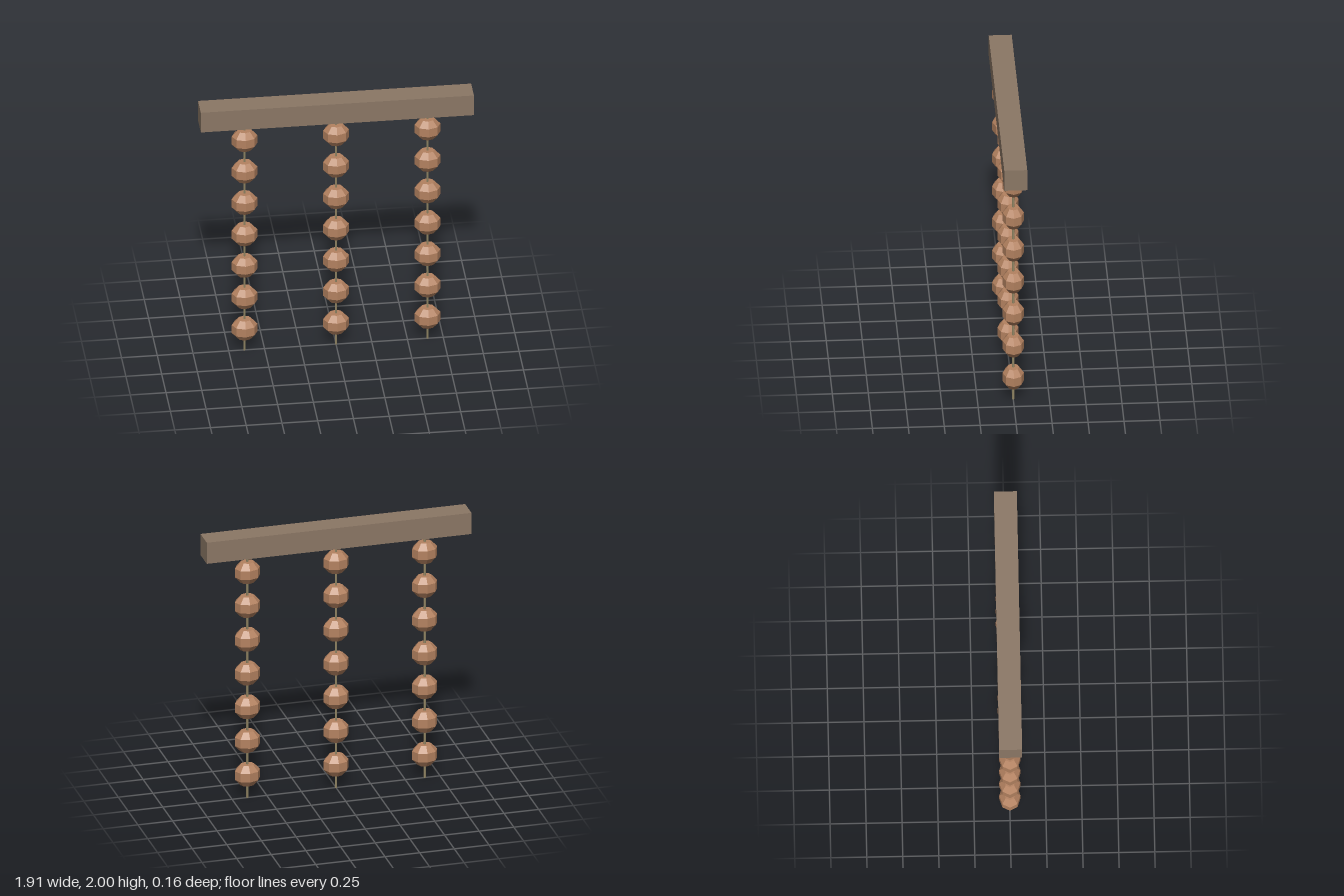
import * as THREE from 'three';

const material = (color) => new THREE.MeshStandardMaterial({ color, flatShading: true });

export function createModel() {
  const model = new THREE.Group();
  const wood = material(0x8b7765);
  const beadWood = material(0xb48260);
  const cordFibre = material(0x8f8362);

  const add = (parent, name, geometry, mat, x, y, z = 0) => {
    const mesh = new THREE.Mesh(geometry, mat);
    mesh.name = name;
    mesh.position.set(x, y, z);
    parent.add(mesh);
    return mesh;
  };

  // Square beam along the top
  add(model, 'beam', new THREE.BoxGeometry(1.91, 0.16, 0.16), wood, 0, 1.92);

  // Faceted bead, slightly wider than deep
  const profile = [[0, -1], [0.55, -1], [1, -0.42], [1, 0.42], [0.55, 1], [0, 1]]
    .map(([r, y]) => new THREE.Vector2(r, y));
  const beadGeometry = new THREE.LatheGeometry(profile, 8).scale(0.09, 0.077, 0.074);
  const cordGeometry = new THREE.CylinderGeometry(0.008, 0.008, 1.86, 6);

  // Three hanging strands, each a cord with seven beads
  for (const x of [-0.64, 0, 0.64]) {
    const strand = new THREE.Group();
    strand.name = 'strand';
    strand.position.x = x;
    add(strand, 'cord', cordGeometry, cordFibre, 0, 0.93);
    for (let i = 0; i < 7; i++) {
      add(strand, 'bead', beadGeometry, beadWood, 0, 0.177 + i * 0.2555);
    }
    model.add(strand);
  }
  return model;
}
